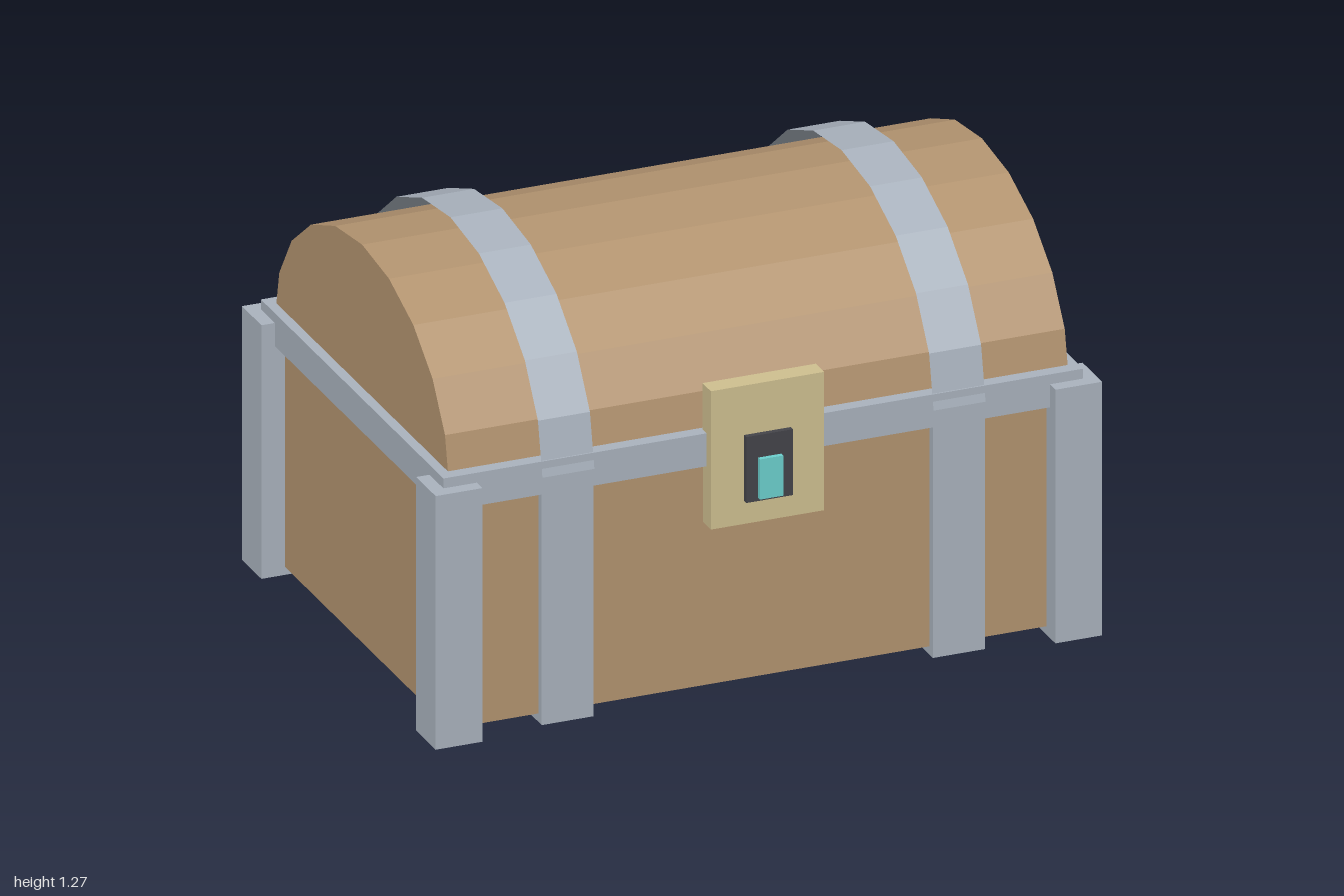
import * as THREE from 'three';

function material(name, color, options = {}) {
  const m = new THREE.MeshStandardMaterial({ color, flatShading: true, ...options });
  m.name = name;
  return m;
}

export function createModel() {
  const chest = new THREE.Group();
  chest.name = 'treasureChest';

  const wood = material('wood', 0xb39470);
  const metal = material('metal', 0xaab3be, { side: THREE.DoubleSide });
  const brass = material('brass', 0xcfc090);
  const dark = material('dark', 0x44444a);
  const gem = material('gem', 0x6cd0ce);

  const midZ = -0.01; // the box sits slightly back, making room for the lock

  function add(name, geometry, mat) {
    const mesh = new THREE.Mesh(geometry, mat);
    mesh.name = name;
    chest.add(mesh);
    return mesh;
  }

  // Box given by its lowest and highest corner
  function box(name, mat, [x0, y0, z0], [x1, y1, z1]) {
    const mesh = add(name, new THREE.BoxGeometry(x1 - x0, y1 - y0, z1 - z0), mat);
    mesh.position.set((x0 + x1) / 2, (y0 + y1) / 2, (z0 + z1) / 2);
  }

  // Half cylinder lying along x, with an elliptical section
  function arch(name, mat, x, width, height, depth, open) {
    const g = new THREE.CylinderGeometry(1, 1, width, 10, 1, open, 0, Math.PI);
    g.rotateZ(Math.PI / 2);
    g.scale(1, height, depth);
    add(name, g, mat).position.set(x, 0.753, midZ);
  }

  // Wooden body and domed lid
  box('body', wood, [-0.93, 0.025, midZ - 0.63], [0.93, 0.75, midZ + 0.63]);
  arch('lid', wood, 0, 1.86, 0.48, 0.625, false);

  // Metal rim between body and lid
  box('rim', metal, [-0.96, 0.7, midZ - 0.655], [0.96, 0.8, midZ + 0.655]);

  for (const side of [-1, 1]) {
    const label = side > 0 ? 'left' : 'right';

    // Straps: a solid band round the body, a thin sheet over the lid
    const x = side * 0.587;
    box(label + 'BodyStrap', metal, [x - 0.078, 0, midZ - 0.655], [x + 0.078, 0.75, midZ + 0.655]);
    arch(label + 'LidStrap', metal, x, 0.156, 0.517, 0.66, true);

    // Corner posts
    for (const end of [-1, 1]) {
      const px = side * 0.93, pz = midZ + end * 0.625;
      box(label + (end > 0 ? 'Front' : 'Back') + 'Post', metal,
        [px - 0.07, 0, pz - 0.07], [px + 0.07, 0.77, pz + 0.07]);
    }
  }

  // Lock
  box('lockPlate', brass, [-0.17, 0.52, 0.615], [0.17, 0.94, 0.675]);
  box('lockPanel', dark, [-0.07, 0.59, 0.66], [0.07, 0.79, 0.691]);
  box('lockGem', gem, [-0.035, 0.6, 0.68], [0.035, 0.722, 0.705]);

  return chest;
}
